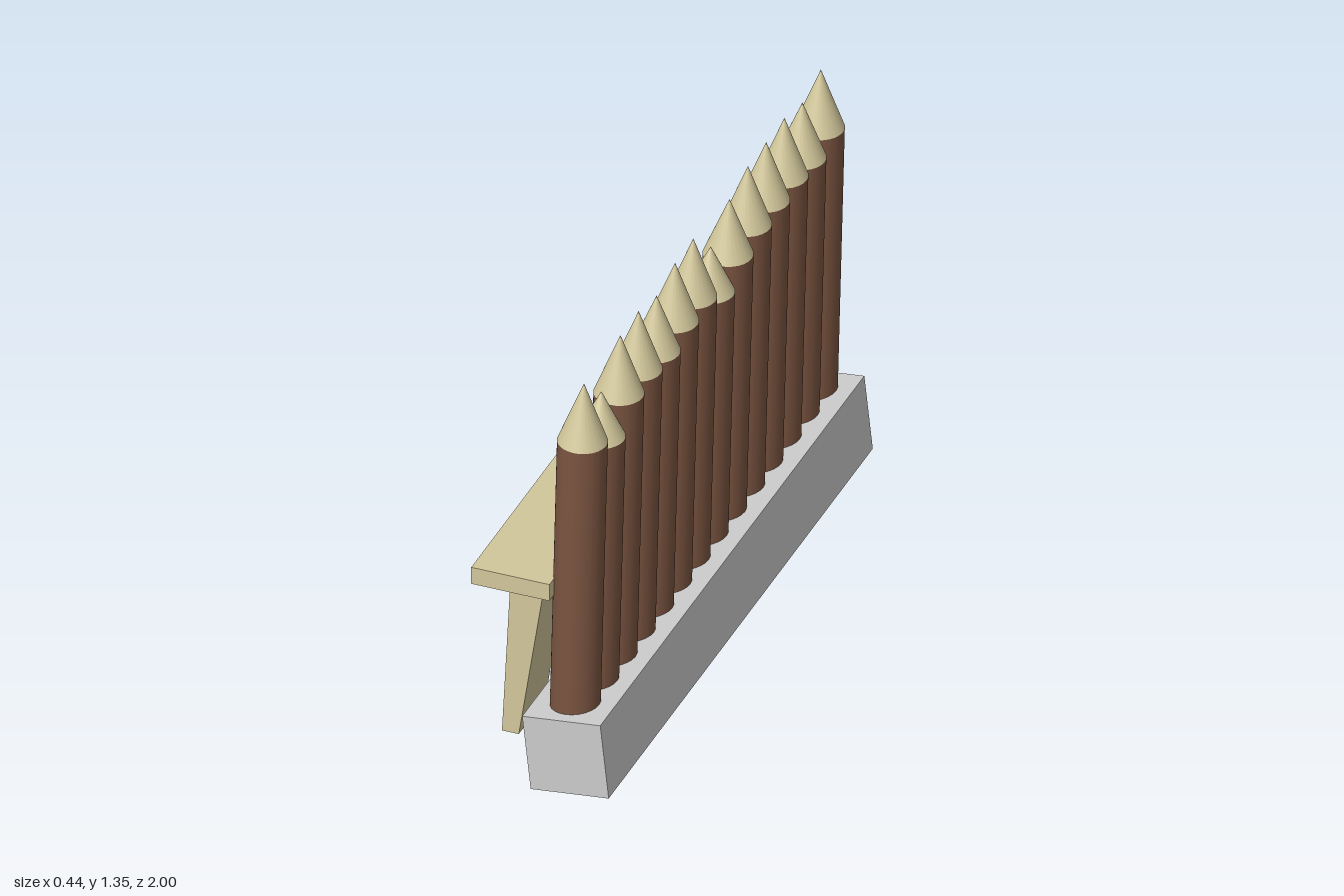
import * as THREE from 'three';

const stone = new THREE.MeshStandardMaterial({ color: 0xcccccc });
const bark = new THREE.MeshStandardMaterial({ color: 0x7a5440 });
const wood = new THREE.MeshStandardMaterial({ color: 0xd2c79b });

export function createModel() {
  const model = new THREE.Group();
  const add = (parent, name, geometry, material, x, y, z) => {
    const mesh = new THREE.Mesh(geometry, material);
    mesh.name = name;
    mesh.position.set(x, y, z);
    parent.add(mesh);
    return mesh;
  };

  // Slightly tipped foundation beam
  const base = add(model, 'foundation', new THREE.BoxGeometry(0.243, 0.243, 2), stone, 0.084, 0.137, 0);
  base.rotation.z = 0.108;

  // Row of leaning, sharpened stakes: [shoulder height, tip height] by kind
  const kinds = { tall: [1.155, 1.35], mid: [1.135, 1.32], low: [1.09, 1.24] };
  const row = ['tall', 'low', 'tall', 'tall', 'mid', 'tall', 'tall',
    'low', 'mid', 'tall', 'tall', 'tall', 'mid', 'tall'];
  const radius = 0.0735, foot = 0.2;
  row.forEach((kind, i) => {
    const [shoulder, tip] = kinds[kind];
    const stake = new THREE.Group();
    stake.name = 'stake';
    stake.position.set(0.0685, foot, 0.89 - i * 0.138);
    stake.rotation.z = -0.0243;
    const h = shoulder - foot, c = tip - shoulder;
    add(stake, 'stakeShaft', new THREE.CylinderGeometry(radius, radius, h, 24), bark, 0, h / 2, 0);
    add(stake, 'stakePoint', new THREE.ConeGeometry(radius, c, 24), wood, 0, h + c / 2, 0);
    model.add(stake);
  });

  // Walkway plank behind the stakes
  add(model, 'plank', new THREE.BoxGeometry(0.242, 0.056, 1.96), wood, -0.099, 0.665, -0.01);

  // Two tapered legs under the plank
  const profile = new THREE.Shape([
    [-0.182, 0.063], [-0.13, 0.063], [-0.043, 0.638], [-0.153, 0.638],
  ].map(([x, y]) => new THREE.Vector2(x, y)));
  const legGeometry = new THREE.ExtrudeGeometry(profile, { depth: 0.2, bevelEnabled: false });
  for (const z of [-0.85, 0.63]) add(model, 'plankLeg', legGeometry, wood, 0, 0, z);

  return model;
}
